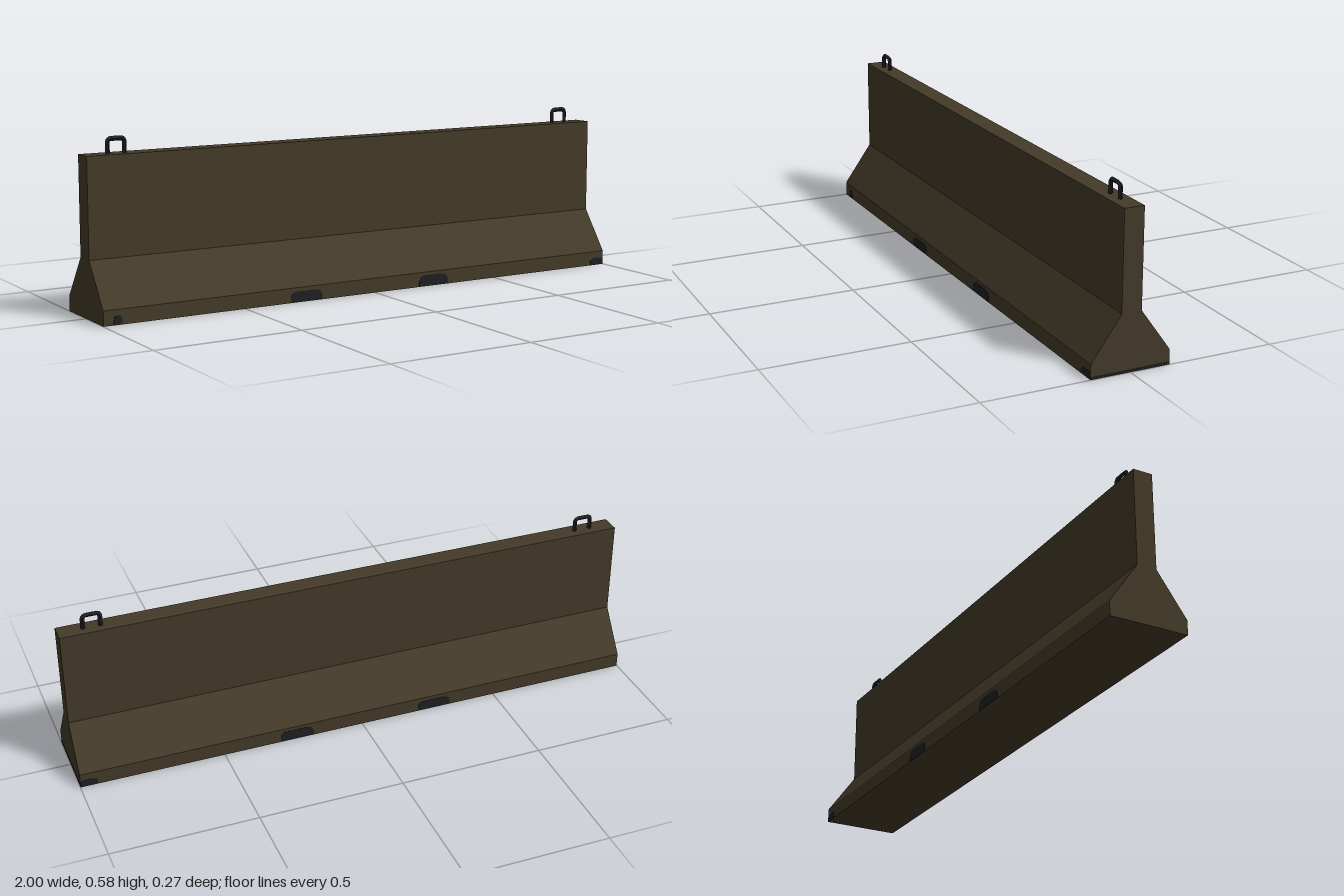
import * as THREE from 'three';

const concrete = new THREE.MeshStandardMaterial({ name: 'weathered concrete', color: 0x443a28, flatShading: true });
const dark = new THREE.MeshStandardMaterial({ name: 'dark steel', color: 0x1d1f23, flatShading: true });

const HALF = 0.999, BASE = 0.136;

function add(parent, name, geometry, material) {
  const mesh = new THREE.Mesh(geometry, material);
  mesh.name = name;
  parent.add(mesh);
  return mesh;
}

// Wall: one flared profile extruded along x
function wallGeometry() {
  const side = [[BASE, 0], [BASE, 0.05], [0.034, 0.193], [0.034, 0.522]];
  const outline = [...side, ...side.map(([z, y]) => [-z, y]).reverse()];
  const shape = new THREE.Shape(outline.map(([z, y]) => new THREE.Vector2(z, y)));
  return new THREE.ExtrudeGeometry(shape, { depth: 2 * HALF, bevelEnabled: false })
    .translate(0, 0, -HALF).rotateY(Math.PI / 2);
}

// Lifting loop: square bar bent into a staple, turned on its edge
function loopGeometry() {
  const w = 0.029, top = 0.569, r = 0.014;
  const v = (x, y) => new THREE.Vector3(x, y, 0);
  const path = new THREE.CurvePath();
  path.add(new THREE.LineCurve3(v(-w, 0.51), v(-w, top - r)));
  path.add(new THREE.QuadraticBezierCurve3(v(-w, top - r), v(-w, top), v(-w + r, top)));
  path.add(new THREE.LineCurve3(v(-w + r, top), v(w - r, top)));
  path.add(new THREE.QuadraticBezierCurve3(v(w - r, top), v(w, top), v(w, top - r)));
  path.add(new THREE.LineCurve3(v(w, top - r), v(w, 0.51)));
  return new THREE.TubeGeometry(path, 40, 0.008, 4, false);
}

// Slot mark: thin plate with rounded upper corners
function slotGeometry(x0, x1, h) {
  const c = Math.min(0.022, (x1 - x0) / 3);
  const s = new THREE.Shape();
  s.moveTo(x0, 0.002);
  s.lineTo(x1, 0.002);
  s.lineTo(x1, h * 0.5);
  s.quadraticCurveTo(x1 - c * 0.2, h * 0.95, x1 - c, h);
  s.lineTo(x0 + c, h);
  s.quadraticCurveTo(x0 + c * 0.2, h * 0.95, x0, h * 0.5);
  return new THREE.ExtrudeGeometry(s, { depth: 0.002, bevelEnabled: false, curveSegments: 4 });
}

export function createModel() {
  const model = new THREE.Group();
  model.name = 'concreteBarrier';
  add(model, 'wall', wallGeometry(), concrete);

  for (const s of [-1, 1]) {
    add(model, s > 0 ? 'leftLiftingLoop' : 'rightLiftingLoop', loopGeometry(), dark).position.x = s * 0.885;

    // Drainage slots and end marks on both long faces
    const face = s > 0 ? 'front' : 'back';
    const marks = [[-0.33, -0.21, 0.036], [0.18, 0.3, 0.038], [0.94, HALF, 0.026]];
    if (s > 0) marks.push([-0.965, -0.935, 0.03]);
    for (const [x0, x1, h] of marks) {
      add(model, face + 'Slot', slotGeometry(x0, x1, h), dark).position.z = s > 0 ? BASE - 0.001 : -BASE - 0.001;
    }
  }

  // Dark seam along the foot of the left end
  add(model, 'leftFootSeam', new THREE.BoxGeometry(0.002, 0.007, 2 * BASE), dark).position.set(HALF, 0.0055, 0);
  return model;
}
